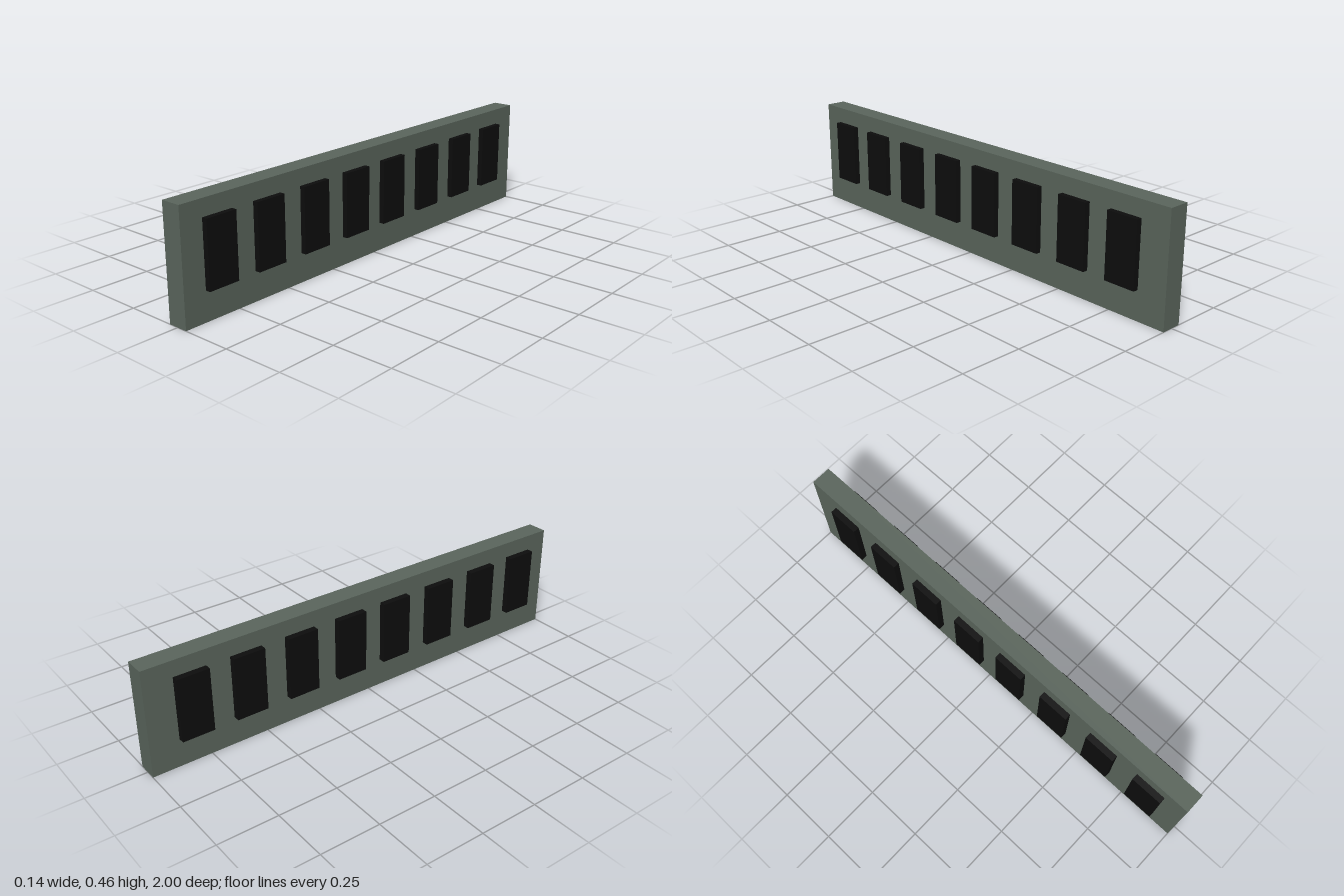
import * as THREE from 'three';

export function createModel() {
  const model = new THREE.Group();
  model.name = 'memoryModule';
  const boardMaterial = new THREE.MeshStandardMaterial({ color: 0x5a655c });
  const chipMaterial = new THREE.MeshStandardMaterial({ color: 0x0d0d0d });

  // Box given by its lower and upper corners
  function addBox(name, material, [x0, y0, z0], [x1, y1, z1]) {
    const mesh = new THREE.Mesh(new THREE.BoxGeometry(x1 - x0, y1 - y0, z1 - z0), material);
    mesh.position.set((x0 + x1) / 2, (y0 + y1) / 2, (z0 + z1) / 2);
    mesh.name = name;
    model.add(mesh);
  }

  // Circuit board standing on its long edge
  const boardRight = -0.041, boardLeft = 0.045;
  addBox('board', boardMaterial, [boardRight, 0, -1], [boardLeft, 0.456, 1]);

  // Eight chips on each face
  const chipCentres = [0.836, 0.601, 0.362, 0.126, -0.101, -0.336, -0.576, -0.811];
  const halfWidth = 0.0675, bottom = 0.12, top = 0.388;
  chipCentres.forEach((z, i) => {
    addBox(`rightChip${i + 1}`, chipMaterial, [-0.068, bottom, z - halfWidth], [boardRight, top, z + halfWidth]);
    addBox(`leftChip${i + 1}`, chipMaterial, [boardLeft, bottom, z - halfWidth], [0.067, top, z + halfWidth]);
  });

  return model;
}
